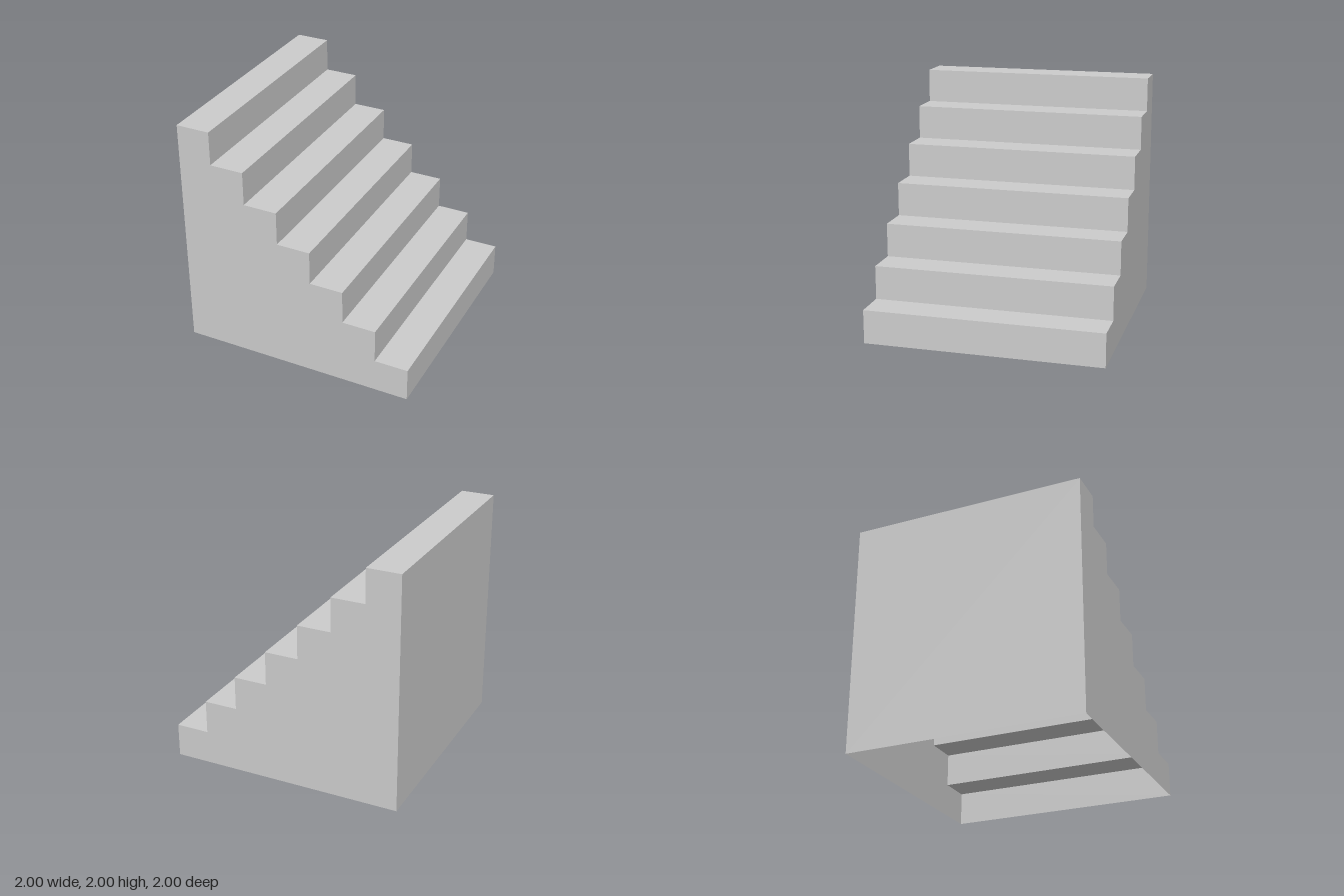
import * as THREE from 'three';

const STEPS = 7;
const SIZE = 2;
const HALF = SIZE / 2;
const STEP = SIZE / STEPS;

export function createModel() {
  const group = new THREE.Group();
  group.name = 'staircase';
  const material = new THREE.MeshStandardMaterial({
    color: 0xcccccc, flatShading: true, side: THREE.DoubleSide,
  });

  function add(parent, name, geometry, x, y, z) {
    const mesh = new THREE.Mesh(geometry, material);
    mesh.name = name;
    mesh.position.set(x, y, z);
    parent.add(mesh);
    return mesh;
  }

  // Stepped outline shared by both side walls
  const outline = new THREE.Shape();
  outline.moveTo(-HALF, 0);
  outline.lineTo(HALF, 0);
  for (let i = 0; i < STEPS; i++) {
    const x = HALF - i * STEP;
    const y = (i + 1) * STEP;
    outline.lineTo(x, y);
    outline.lineTo(x - STEP, y);
  }
  outline.closePath();

  // Side walls; the far one is turned to face outward, with its outline mirrored back
  add(group, 'frontSideWall', new THREE.ShapeGeometry(outline), 0, 0, HALF);
  const mirrored = new THREE.Shape(outline.getPoints().map((p) => new THREE.Vector2(-p.x, p.y)));
  add(group, 'rearSideWall', new THREE.ShapeGeometry(mirrored), 0, 0, -HALF).rotation.y = Math.PI;

  // Tall wall behind the top step
  const wall = new THREE.PlaneGeometry(SIZE, SIZE).rotateY(-Math.PI / 2);
  add(group, 'tallWall', wall, -HALF, HALF, 0);

  // Steps, from the bottom up; the hollow underside stays open
  const riser = new THREE.PlaneGeometry(SIZE, STEP).rotateY(Math.PI / 2);
  const tread = new THREE.PlaneGeometry(STEP, SIZE).rotateX(-Math.PI / 2);
  for (let i = 0; i < STEPS; i++) {
    const step = new THREE.Group();
    step.name = `step${i + 1}`;
    step.position.set(HALF - i * STEP, i * STEP, 0);
    add(step, 'riser', riser, 0, STEP / 2, 0);
    add(step, 'tread', tread, -STEP / 2, STEP, 0);
    group.add(step);
  }

  return group;
}
